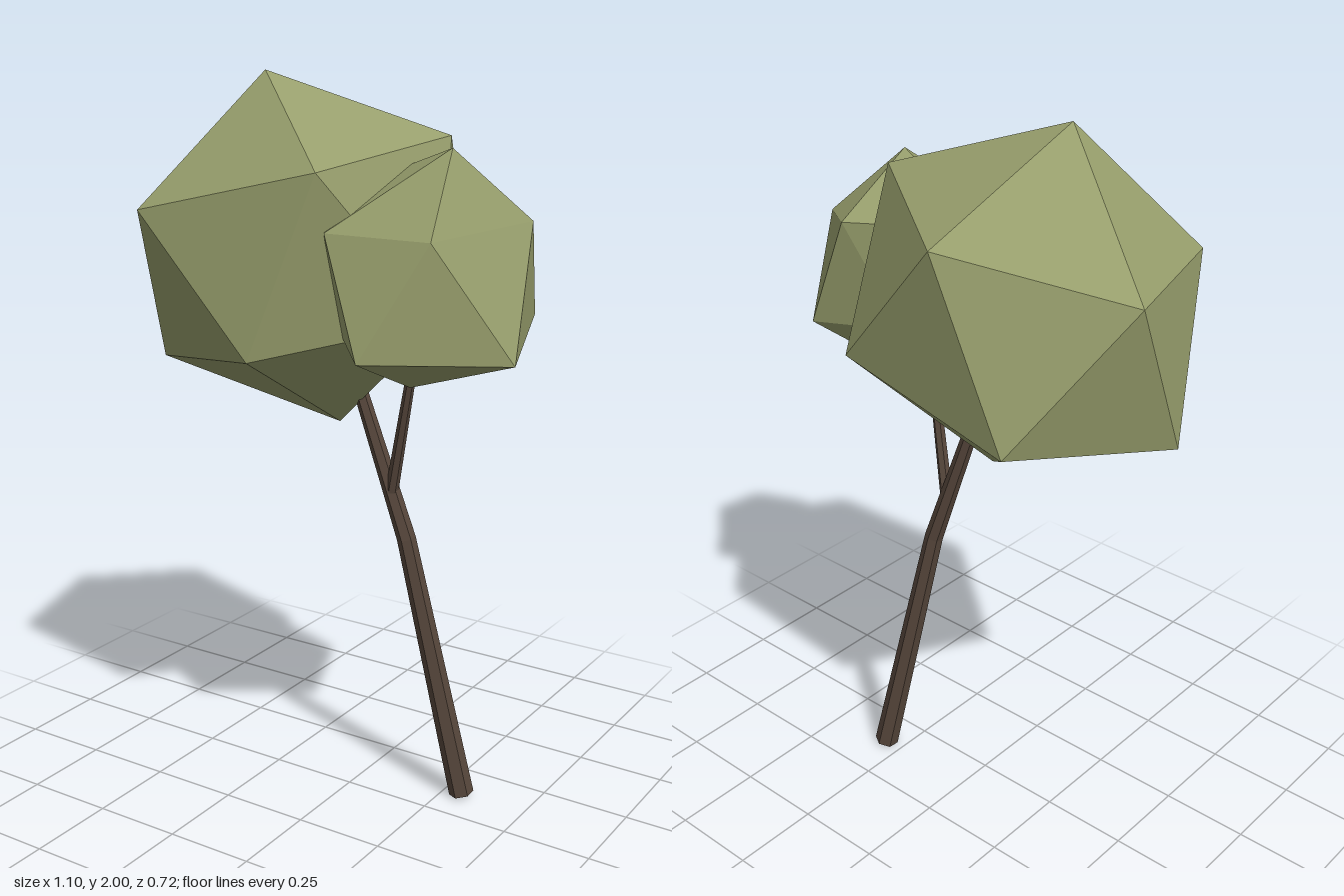
import * as THREE from 'three';

const leaf = new THREE.MeshStandardMaterial({ color: 0x979e6c, flatShading: true });
leaf.name = 'olive leaf';
const bark = new THREE.MeshStandardMaterial({ color: 0x57473c, flatShading: true });
bark.name = 'dark bark';

// Twenty-sided crown: top point, two staggered rings of five, bottom point
function crown(name, top, upper, lower, bottom) {
  const pos = [];
  for (let i = 0; i < 5; i++) {
    const j = (i + 1) % 5;
    pos.push(
      ...top, ...upper[i], ...upper[j],
      ...upper[i], ...lower[i], ...upper[j],
      ...lower[i], ...lower[j], ...upper[j],
      ...bottom, ...lower[j], ...lower[i]
    );
  }
  const g = new THREE.BufferGeometry();
  g.setAttribute('position', new THREE.Float32BufferAttribute(pos, 3));
  g.computeVertexNormals();
  const mesh = new THREE.Mesh(g, leaf);
  mesh.name = name;
  return mesh;
}

// Six-sided limb whose rings follow a path of [x, y, z, radius], bottom to top
function limb(name, path) {
  const n = path.length - 1;
  const points = path.map(p => new THREE.Vector3(p[0], p[1], p[2]));
  const up = new THREE.Vector3(0, 1, 0);
  const turns = points.map((p, i) => {
    const along = points[Math.min(i + 1, n)].clone().sub(points[Math.max(i - 1, 0)]).normalize();
    return new THREE.Quaternion().setFromUnitVectors(up, along);
  });
  const g = new THREE.CylinderGeometry(1, 1, 1, 6, n);
  const a = g.attributes.position;
  const v = new THREE.Vector3();
  for (let i = 0; i < a.count; i++) {
    const row = Math.round((a.getY(i) + 0.5) * n);
    v.set(a.getX(i), 0, a.getZ(i)).multiplyScalar(path[row][3]);
    v.applyQuaternion(turns[row]).add(points[row]);
    a.setXYZ(i, v.x, v.y, v.z);
  }
  g.computeVertexNormals();
  const mesh = new THREE.Mesh(g, bark);
  mesh.name = name;
  return mesh;
}

export function createModel() {
  const tree = new THREE.Group();
  tree.name = 'tree';

  // Leaning trunk and its side branch
  tree.add(limb('trunk', [
    [0.306, 0.008, -0.112, 0.035],
    [0.16, 0.77, -0.036, 0.026],
    [0.02, 1.2, -0.006, 0.019],
  ]));
  tree.add(limb('branch', [
    [0.118, 0.89, -0.024, 0.018],
    [0.205, 1.26, 0.02, 0.013],
  ]));

  // Foliage
  tree.add(crown('largeCrown', [-0.2, 2, 0.085],
    [[-0.41, 1.66, 0.357], [0.09, 1.775, 0.29], [0.255, 1.845, -0.075], [-0.14, 1.79, -0.36], [-0.55, 1.675, -0.09]],
    [[-0.085, 1.3, 0.345], [0.31, 1.4, 0.07], [0.19, 1.42, -0.315], [-0.34, 1.315, -0.338], [-0.527, 1.225, 0.125]],
    [-0.04, 1.075, -0.015]));
  tree.add(crown('smallCrown', [0.345, 1.83, 0.08],
    [[0.1, 1.63, 0.27], [0.362, 1.62, 0.21], [0.508, 1.655, -0.035], [0.325, 1.7, -0.178], [0.005, 1.71, -0.01]],
    [[0.214, 1.325, 0.306], [0.545, 1.325, 0.113], [0.45, 1.395, -0.182], [0.19, 1.42, -0.11], [0.045, 1.385, 0.14]],
    [0.2, 1.208, 0.02]));

  return tree;
}
